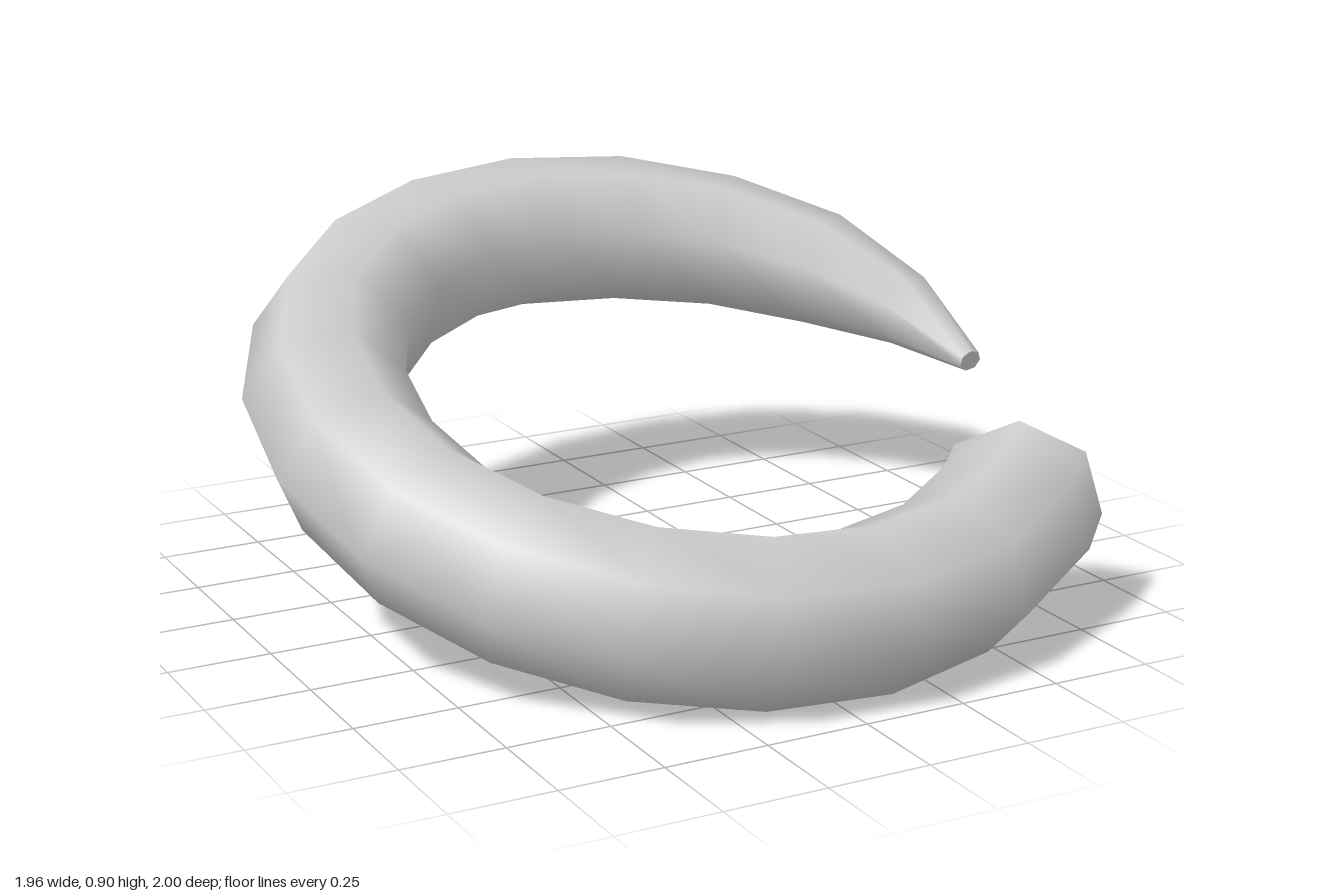
import * as THREE from 'three';
import { toCreasedNormals } from 'three/addons/utils/BufferGeometryUtils.js';

const RING_RADIUS = 0.855;
const STEP = THREE.MathUtils.degToRad(18.28);
const END = THREE.MathUtils.degToRad(319.7);
const SEGMENTS = 18;
// tube radius at the first rings from the tip; constant afterwards
const TAPER = [0.03, 0.1, 0.156, 0.18, 0.196, 0.2];

// Bend a seven-sided unit cylinder around the ring, tapering it at the tip
function createHornGeometry() {
  const geometry = new THREE.CylinderGeometry(1, 1, 1, 7, SEGMENTS);
  geometry.rotateY(Math.PI / 2); // one corner faces outward
  const pos = geometry.attributes.position;
  for (let i = 0; i < pos.count; i++) {
    const ring = Math.round((0.5 - pos.getY(i)) * SEGMENTS);
    const angle = Math.min(ring * STEP, END);
    const r = TAPER[Math.min(ring, TAPER.length - 1)];
    const distance = RING_RADIUS + r * pos.getX(i);
    pos.setXYZ(i, distance * Math.cos(angle), -r * pos.getZ(i), -distance * Math.sin(angle));
  }
  // smooth sides, crisp end caps
  return toCreasedNormals(geometry, 1.05);
}

export function createModel() {
  const group = new THREE.Group();
  const horn = new THREE.Mesh(
    createHornGeometry(),
    new THREE.MeshStandardMaterial({ color: 0xcccccc })
  );
  horn.name = 'curledHorn';
  // the ring leans down toward the front
  horn.rotation.x = THREE.MathUtils.degToRad(18);
  horn.position.set(0.068, 0.453, 0);
  group.add(horn);
  return group;
}
